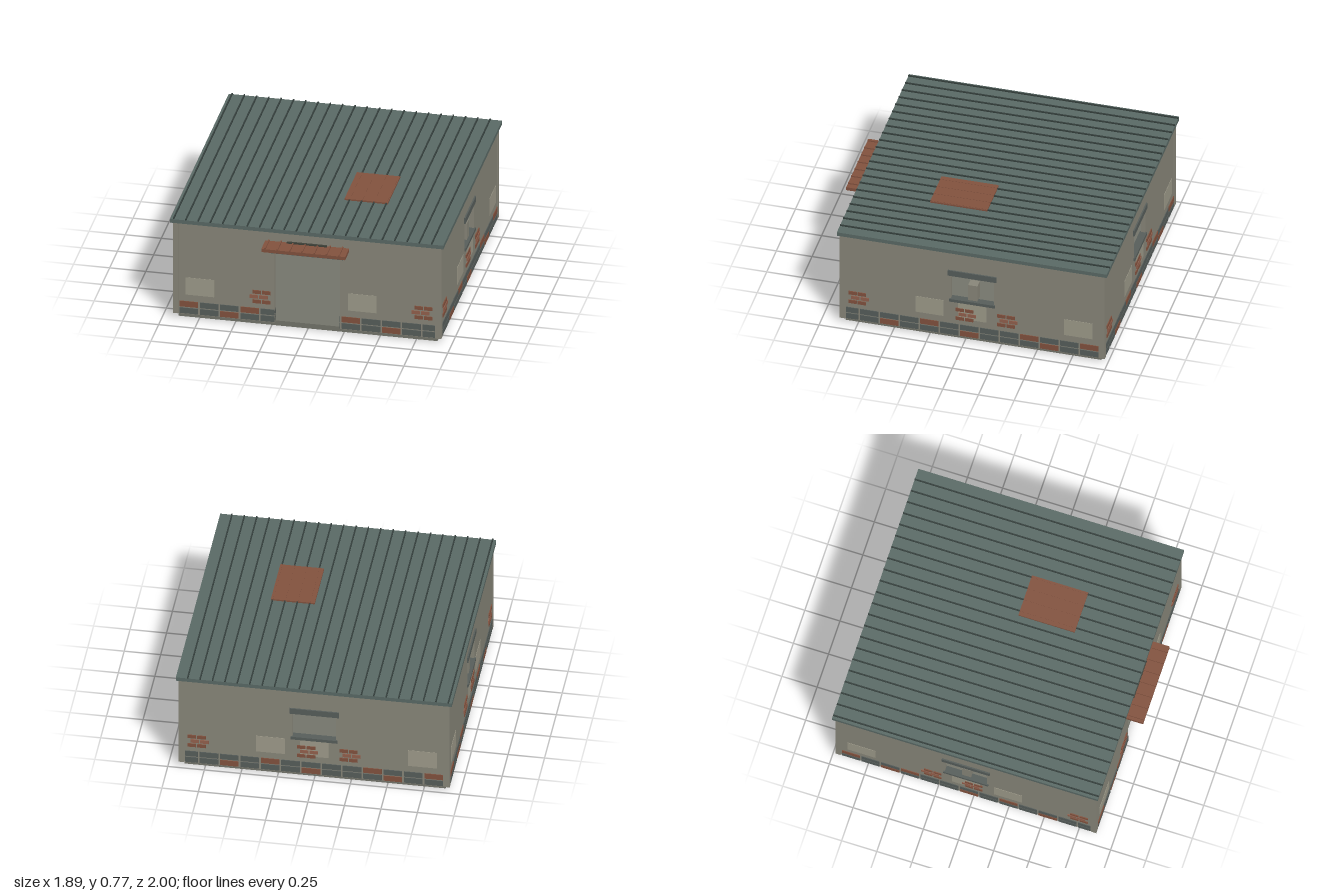
import * as THREE from 'three';

const material = (color) => new THREE.MeshStandardMaterial({ color, flatShading: true });
const wallMat = material(0x8a887b);
const slabMat = material(0x75766c);
const roofMat = material(0x5b6b67);
const ribMat = material(0x35403d);
const rustMat = material(0x84533f);
const stoneMat = material(0x585f5c);
const plasterMat = material(0xa09d8c);
const brickMat = material(0x95624e);
const darkMat = material(0x40433b);

// Adds a box given its centre and size.
function box(parent, name, mat, x, y, z, w, h, d) {
  const mesh = new THREE.Mesh(new THREE.BoxGeometry(w, h, d), mat);
  mesh.name = name;
  mesh.position.set(x, y, z);
  parent.add(mesh);
  return mesh;
}

const CZ = -0.053;     // centre of the house in z
const WALL = 0.908;    // distance from centre to the middle of a wall
const THICK = 0.03;
const DOOR = 0.225;    // half width of the doorway

function wallShell(hasDoor) {
  const s = new THREE.Shape();
  s.moveTo(-0.9, 0.035);
  if (hasDoor) {
    s.lineTo(-DOOR, 0.035);
    s.lineTo(-DOOR, 0.57);
    s.lineTo(DOOR, 0.57);
    s.lineTo(DOOR, 0.035);
  }
  s.lineTo(0.9, 0.035);
  s.lineTo(0.9, 0.728);
  s.lineTo(-0.9, 0.728);
  s.closePath();
  if (!hasDoor) {
    const h = new THREE.Path();
    h.moveTo(-0.15, 0.335);
    h.lineTo(-0.15, 0.535);
    h.lineTo(0.15, 0.535);
    h.lineTo(0.15, 0.335);
    h.closePath();
    s.holes.push(h);
  }
  const g = new THREE.ExtrudeGeometry(s, { depth: THICK, bevelEnabled: false });
  return g.translate(0, 0, -THICK / 2);
}

// A wall in its own frame, with the stones and patches showing on both faces.
function makeWall(name, hasDoor) {
  const wall = new THREE.Group();
  wall.name = name;
  const shell = new THREE.Mesh(wallShell(hasDoor), wallMat);
  shell.name = 'wallShell';
  wall.add(shell);

  // Two courses of base stones, cut off at the doorway
  const rusty = [[2, 6, 10], [0, 3, 8]];
  for (let row = 0; row < 2; row++) {
    for (let i = 0; i < 13; i++) {
      let a = -0.882 + i * 0.14;
      let b = Math.min(a + 0.128, 0.885);
      if (hasDoor) {
        if (a < -DOOR) b = Math.min(b, -DOOR);
        else if (b > DOOR) a = Math.max(a, DOOR);
        else continue;
      }
      const mat = rusty[row].includes(i) ? rustMat : stoneMat;
      box(wall, 'baseStone', mat, (a + b) / 2, 0.061 + row * 0.05, 0, b - a, 0.042, 0.04);
    }
  }

  // Pale plaster patches
  for (const u of hasDoor ? [-0.742, 0.38] : [-0.742, 0, 0.3]) {
    box(wall, 'plasterPatch', plasterMat, u, 0.247, 0, 0.198, 0.13, 0.035);
  }

  // Exposed brick patches
  for (const u of hasDoor ? [-0.315, 0.805] : [-0.235, 0.055, 0.805]) {
    for (let row = 0; row < 3; row++) {
      for (const side of [-1, 1]) {
        const x = u + side * 0.033 - (row === 1 ? 0.02 : 0);
        box(wall, 'exposedBrick', row === 1 ? brickMat : rustMat, x, 0.183 + row * 0.036, 0, 0.058, 0.026, 0.043);
      }
    }
  }

  // Lintel and sill
  if (hasDoor) {
    box(wall, 'doorLintel', stoneMat, 0, 0.585, 0, 0.5, 0.042, 0.05);
  } else {
    box(wall, 'windowLintel', stoneMat, 0, 0.552, 0, 0.34, 0.043, 0.05);
    box(wall, 'windowSill', stoneMat, 0, 0.327, 0, 0.32, 0.022, 0.05);
  }
  return wall;
}

export function createModel() {
  const house = new THREE.Group();
  house.name = 'house';

  box(house, 'floorSlab', slabMat, 0, 0.0185, CZ, 1.79, 0.037, 1.79);

  // Walls
  const front = makeWall('frontWall', true);
  front.position.z = CZ + WALL;
  const back = makeWall('backWall', false);
  back.position.z = CZ - WALL;
  house.add(front, back);
  for (const side of [-1, 1]) {
    const wall = makeWall(side > 0 ? 'leftWall' : 'rightWall', false);
    wall.rotation.y = -Math.PI / 2;
    wall.position.set(side * WALL, 0, CZ);
    house.add(wall);
    // Stub of a broken window post standing on the sill
    box(house, 'windowStub', wallMat, side * 0.88, 0.398, CZ, 0.065, 0.13, 0.065);
    // Corner posts
    for (const end of [-1, 1]) {
      box(house, 'cornerPost', wallMat, side * 0.91, 0.3825, CZ + end * 0.91, 0.036, 0.695, 0.036);
    }
  }

  // Flat roof with standing seams
  box(house, 'roofSheet', roofMat, 0, 0.741, -0.055, 1.89, 0.028, 1.89);
  for (let i = 0; i < 22; i++) {
    box(house, 'roofRib', ribMat, -0.921 + i * 0.085, 0.759, -0.055, 0.009, 0.01, 1.89);
  }

  // Rusty repair sheet on the roof
  box(house, 'roofPatch', rustMat, 0.3, 0.76, 0.17, 0.3, 0.012, 0.4);
  for (let i = 0; i < 4; i++) {
    box(house, 'patchRib', rustMat, 0.184 + i * 0.085, 0.766, 0.17, 0.009, 0.004, 0.4);
  }

  // Porch awning with ribs, and the board behind it
  box(house, 'awning', rustMat, 0, 0.641, 0.935, 0.58, 0.024, 0.13);
  for (let i = 0; i < 7; i++) {
    box(house, 'awningRib', rustMat, -0.265 + i * 0.085, 0.657, 0.935, 0.009, 0.01, 0.13);
  }
  box(house, 'awningBoard', darkMat, 0, 0.617, 0.881, 0.278, 0.095, 0.012);

  return house;
}
